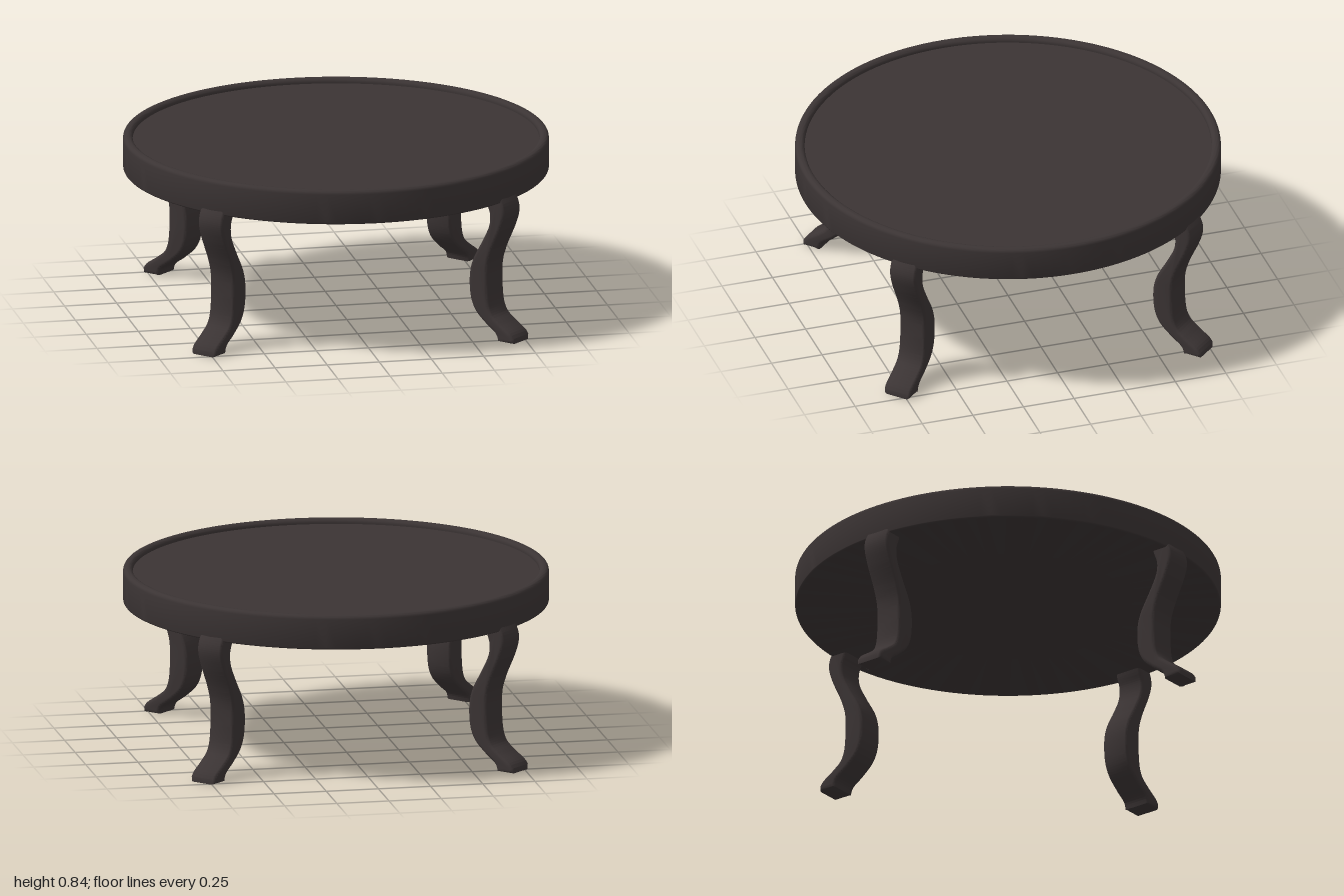
import * as THREE from 'three';
import { toCreasedNormals } from 'three/addons/utils/BufferGeometryUtils.js';

const v = (x, y) => new THREE.Vector2(x, y);

// Quarter-circle of profile points around (cx, cy), starting at angle a
function corner(cx, cy, r, a, steps = 5) {
  return Array.from({ length: steps + 1 }, (_, i) => {
    const t = a + (Math.PI / 2) * (i / steps);
    return v(cx + r * Math.cos(t), cy + r * Math.sin(t));
  });
}

// Round top with a raised, softened rim and a shallow sunken surface
function topGeometry() {
  const profile = [
    v(0, 0.675),
    ...corner(0.99, 0.685, 0.01, -Math.PI / 2),
    ...corner(0.98, 0.82, 0.02, 0),
    ...corner(0.975, 0.82, 0.02, Math.PI / 2),
    v(0.955, 0.815),
    v(0, 0.815),
  ];
  return toCreasedNormals(new THREE.LatheGeometry(profile, 128), 0.6);
}

// S-curved leg: side profile (x = distance from the axis) extruded to its width
function legGeometry() {
  const shape = new THREE.Shape();
  shape.moveTo(0.98, 0);
  shape.lineTo(1.07, 0);
  shape.lineTo(1.07, 0.025);
  shape.splineThru([
    v(1.05, 0.05), v(0.99, 0.09), v(0.945, 0.13), v(0.925, 0.2), v(0.922, 0.34),
    v(0.945, 0.43), v(0.995, 0.54), v(1.018, 0.61), v(1.015, 0.66), v(0.99, 0.71),
  ]);
  shape.lineTo(0.9, 0.71);
  shape.splineThru([
    v(0.915, 0.66), v(0.932, 0.61), v(0.925, 0.55), v(0.885, 0.47), v(0.835, 0.38),
    v(0.815, 0.3), v(0.82, 0.2), v(0.85, 0.13), v(0.91, 0.075), v(0.965, 0.035), v(0.98, 0),
  ]);
  const width = 0.14, bevel = 0.018;
  const geo = new THREE.ExtrudeGeometry(shape, {
    depth: width - 2 * bevel, curveSegments: 40, steps: 1,
    bevelEnabled: true, bevelThickness: bevel, bevelSize: bevel, bevelOffset: -bevel, bevelSegments: 4,
  });
  geo.translate(0, 0, bevel - width / 2);
  return toCreasedNormals(geo, 0.7);
}

export function createModel() {
  const wood = new THREE.MeshStandardMaterial({ color: 0x3b3434 });
  wood.name = 'dark wood';

  const table = new THREE.Group();
  table.name = 'roundTable';

  const top = new THREE.Mesh(topGeometry(), wood);
  top.name = 'tableTop';
  table.add(top);

  // Four legs spaced evenly, turned slightly off the diagonals
  const leg = legGeometry();
  ['frontLeftLeg', 'frontRightLeg', 'backRightLeg', 'backLeftLeg'].forEach((name, i) => {
    const mesh = new THREE.Mesh(leg, wood);
    mesh.name = name;
    mesh.rotation.y = -THREE.MathUtils.degToRad(47.4 + 90 * i);
    table.add(mesh);
  });
  return table;
}
